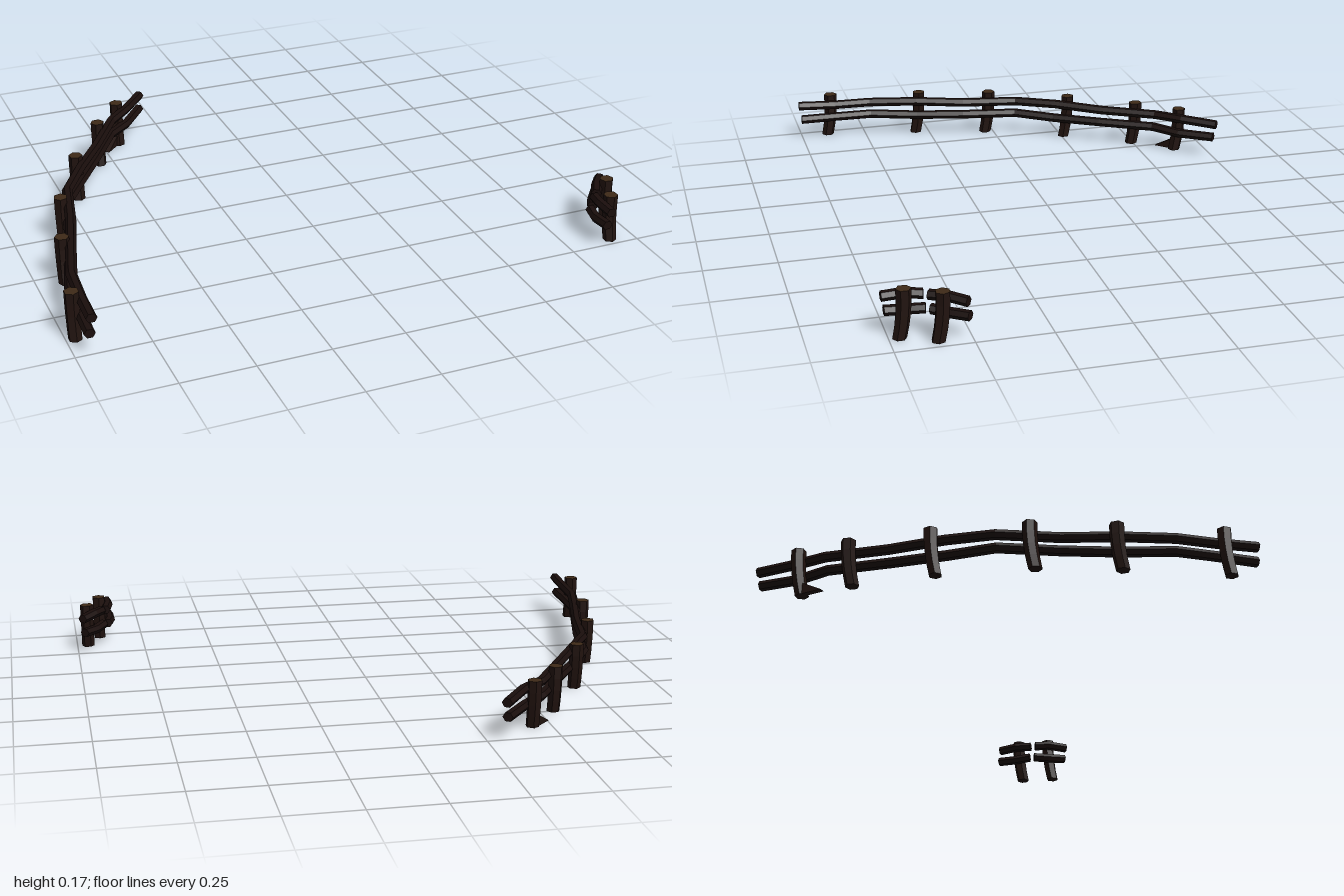
import * as THREE from 'three';

const wood = new THREE.MeshStandardMaterial({ color: 0x21130f, flatShading: true });
const railWood = new THREE.MeshStandardMaterial({ color: 0x1a0e0c, flatShading: true });
const endGrain = new THREE.MeshStandardMaterial({ color: 0x3e2a18, flatShading: true });

const POST_HEIGHT = 0.165;

// Six-sided post, its foot curving a little towards +z
function makePost(x, z, turn) {
  const geo = new THREE.CylinderGeometry(0.025, 0.023, POST_HEIGHT, 6, 4);
  geo.rotateY(turn);
  geo.translate(0, POST_HEIGHT / 2, 0);
  const p = geo.attributes.position;
  for (let i = 0; i < p.count; i++) {
    const t = 1 - p.getY(i) / POST_HEIGHT;
    p.setZ(i, p.getZ(i) + 0.022 * t * t - 0.006 * t);
  }
  const post = new THREE.Mesh(geo, [wood, endGrain, wood]);
  post.position.set(x, 0, z);
  post.name = 'post';
  return post;
}

// Six-sided closed beam swept along [x, z] points, with a slight waver in height
function makeRail(points, y, radius, name) {
  const sides = 6, pos = [], idx = [];
  const path = points.map(([x, z], i) => new THREE.Vector3(x, y + 0.003 * Math.sin(i * 2.1 + y * 40), z));
  path.forEach((c, i) => {
    const dir = path[Math.min(i + 1, path.length - 1)].clone().sub(path[Math.max(i - 1, 0)]).setY(0).normalize();
    for (let s = 0; s < sides; s++) {
      const a = (s / sides) * Math.PI * 2;
      const u = Math.cos(a) * radius * 1.1, v = Math.sin(a) * radius;
      pos.push(c.x - dir.z * u, c.y + v, c.z + dir.x * u);
    }
  });
  for (let i = 0; i < path.length - 1; i++) {
    for (let s = 0; s < sides; s++) {
      const a = i * sides + s, b = i * sides + (s + 1) % sides;
      idx.push(a, b, a + sides, b, b + sides, a + sides);
    }
  }
  const last = (path.length - 1) * sides;
  for (let s = 1; s < sides - 1; s++) {
    idx.push(0, s + 1, s, last, last + s, last + s + 1);
  }
  const geo = new THREE.BufferGeometry();
  geo.setAttribute('position', new THREE.Float32BufferAttribute(pos, 3));
  geo.setIndex(idx);
  const flat = geo.toNonIndexed();
  flat.computeVertexNormals();
  const mat = railWood.clone();
  mat.side = THREE.DoubleSide;
  const rail = new THREE.Mesh(flat, mat);
  rail.name = name;
  return rail;
}

// One fence run: posts plus an upper and a lower rail for each stretch
function makeFence(name, posts, stretches) {
  const fence = new THREE.Group();
  fence.name = name;
  posts.forEach(([x, z], i) => fence.add(makePost(x, z, i * 0.4)));
  for (const pts of stretches) {
    fence.add(makeRail(pts, 0.132, 0.017, 'upperRail'));
    const lower = pts.map(([x, z]) => [x - 0.006, z * 0.988]);
    fence.add(makeRail(lower, 0.078, 0.017, 'lowerRail'));
  }
  return fence;
}

export function createModel() {
  const model = new THREE.Group();
  model.name = 'fences';

  const longFence = makeFence('longFence',
    [[-0.97, 0.63], [-0.905, 0.285], [-0.835, 0.015], [-0.70, -0.275], [-0.55, -0.51], [-0.435, -0.65]],
    [[[-0.31, -0.76], [-0.395, -0.65], [-0.48, -0.57], [-0.595, -0.385], [-0.70, -0.225], [-0.785, -0.085],
      [-0.83, 0.12], [-0.88, 0.30], [-0.928, 0.48], [-0.938, 0.62], [-0.944, 0.76]]]);
  model.add(longFence);

  // Splinter wedge at the foot of the last post
  const wedge = new THREE.Shape([[-0.01, 0], [0.09, 0], [-0.01, 0.055]].map(([x, y]) => new THREE.Vector2(x, y)));
  const splinterGeo = new THREE.ExtrudeGeometry(wedge, { depth: 0.02, bevelEnabled: false });
  splinterGeo.translate(0, 0, -0.01);
  const splinter = new THREE.Mesh(splinterGeo, wood);
  splinter.position.set(-0.435, 0, -0.645);
  splinter.rotation.y = -Math.PI * 0.75;
  splinter.name = 'footSplinter';
  longFence.add(splinter);

  model.add(makeFence('shortFence',
    [[0.91, 0.70], [0.96, 0.59]],
    [[[0.98, 0.515], [0.935, 0.57], [0.903, 0.622]],
     [[0.888, 0.635], [0.876, 0.69], [0.878, 0.765]]]));

  return model;
}
